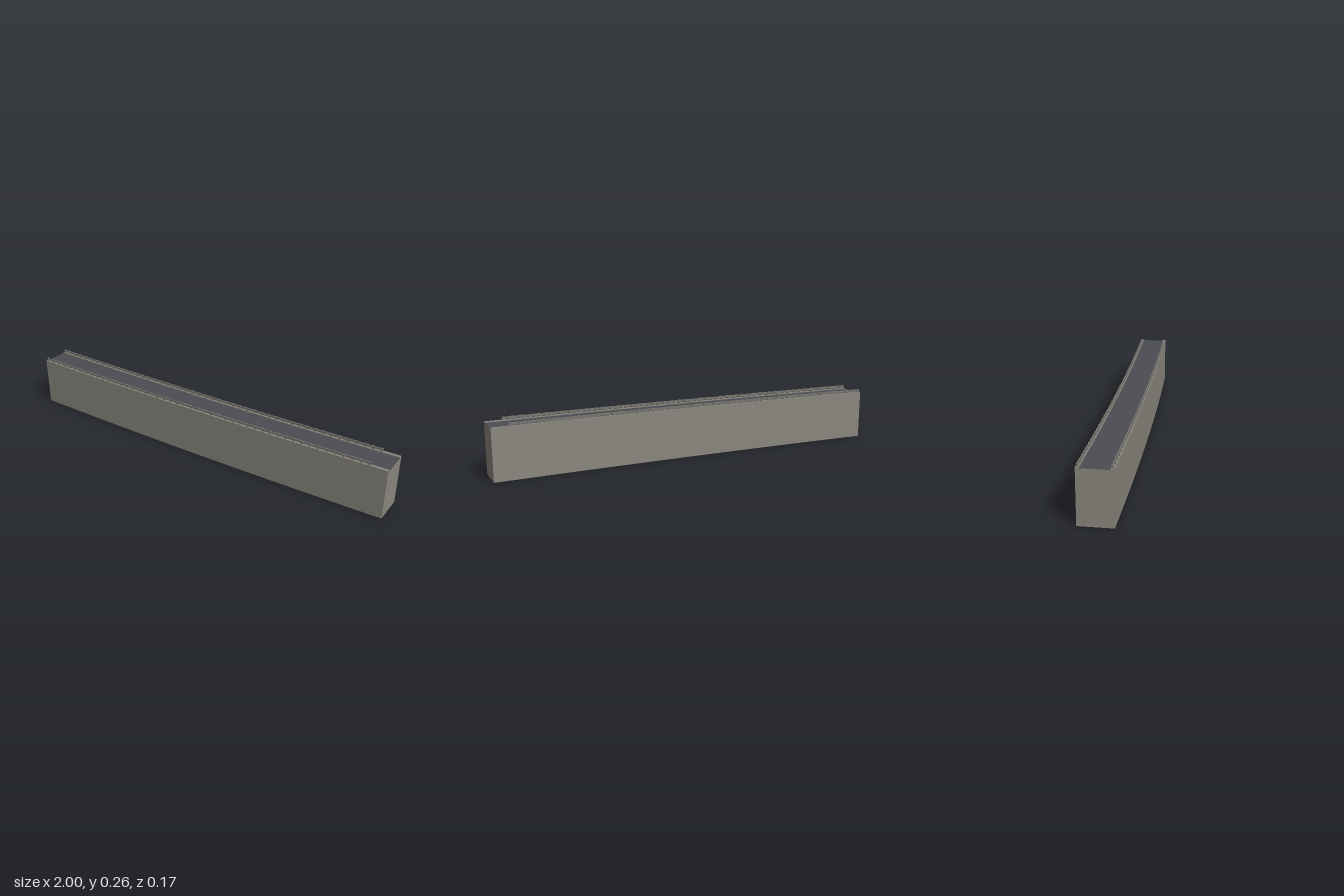
import * as THREE from 'three';

const SAG = 0.015;     // sideways bow of the whole span
const HALF = 0.0755;   // half width of the wall
const bend = (x) => SAG * (0.5 - x * x);

const concrete = new THREE.MeshStandardMaterial({ color: 0x8a867e, side: THREE.DoubleSide });
concrete.name = 'concrete';
const asphalt = new THREE.MeshStandardMaterial({ color: 0x4c4c53 });
asphalt.name = 'asphalt';
const railMetal = new THREE.MeshStandardMaterial({ color: 0x77756f });
railMetal.name = 'rail metal';

// Box between limits, bowed to follow the curve of the road
function bowedBox(x0, x1, y0, y1, z0, z1, segments = 16) {
  const g = new THREE.BoxGeometry(x1 - x0, y1 - y0, z1 - z0, segments, 1, 1);
  g.translate((x0 + x1) / 2, (y0 + y1) / 2, (z0 + z1) / 2);
  const p = g.attributes.position;
  for (let i = 0; i < p.count; i++) p.setZ(i, p.getZ(i) + bend(p.getX(i)));
  return g;
}

export function createModel() {
  const model = new THREE.Group();
  model.name = 'curvedRoadSection';
  const add = (name, geometry, material, parent = model) => {
    const mesh = new THREE.Mesh(geometry, material);
    mesh.name = name;
    parent.add(mesh);
  };

  // Retaining walls: hollow shell, open underneath and closed by the road above
  const shell = bowedBox(-1, 1, 0, 0.244, -HALF, HALF);
  const sides = shell.groups.filter((g) => g.materialIndex !== 2 && g.materialIndex !== 3);
  const index = Array.from(shell.index.array);
  shell.setIndex(sides.flatMap((g) => index.slice(g.start, g.start + g.count)));
  shell.clearGroups();
  add('retainingWalls', shell, concrete);

  // Road deck
  add('roadSurface', bowedBox(-1, 1, 0.24, 0.244, -HALF + 0.001, HALF - 0.001), asphalt);

  // Kerb and guard rail on both edges
  for (const [label, s] of [['front', 1], ['back', -1]]) {
    const across = (a, b) => (s > 0 ? [a, b] : [-b, -a]);
    add(label + 'Kerb', bowedBox(-1, 1, 0.24, 0.248, ...across(HALF - 0.015, HALF)), concrete);

    const rail = new THREE.Group();
    rail.name = label + 'GuardRail';
    model.add(rail);
    add('beam', bowedBox(-0.995, 0.92, 0.252, 0.262, ...across(HALF - 0.011, HALF - 0.006)), railMetal, rail);
    for (let i = 0; i < 48; i++) {
      const x = -0.99 + i * 0.0405;
      add('post', bowedBox(x - 0.004, x + 0.004, 0.247, 0.263, ...across(HALF - 0.012, HALF - 0.004), 1), railMetal, rail);
    }
  }
  return model;
}
